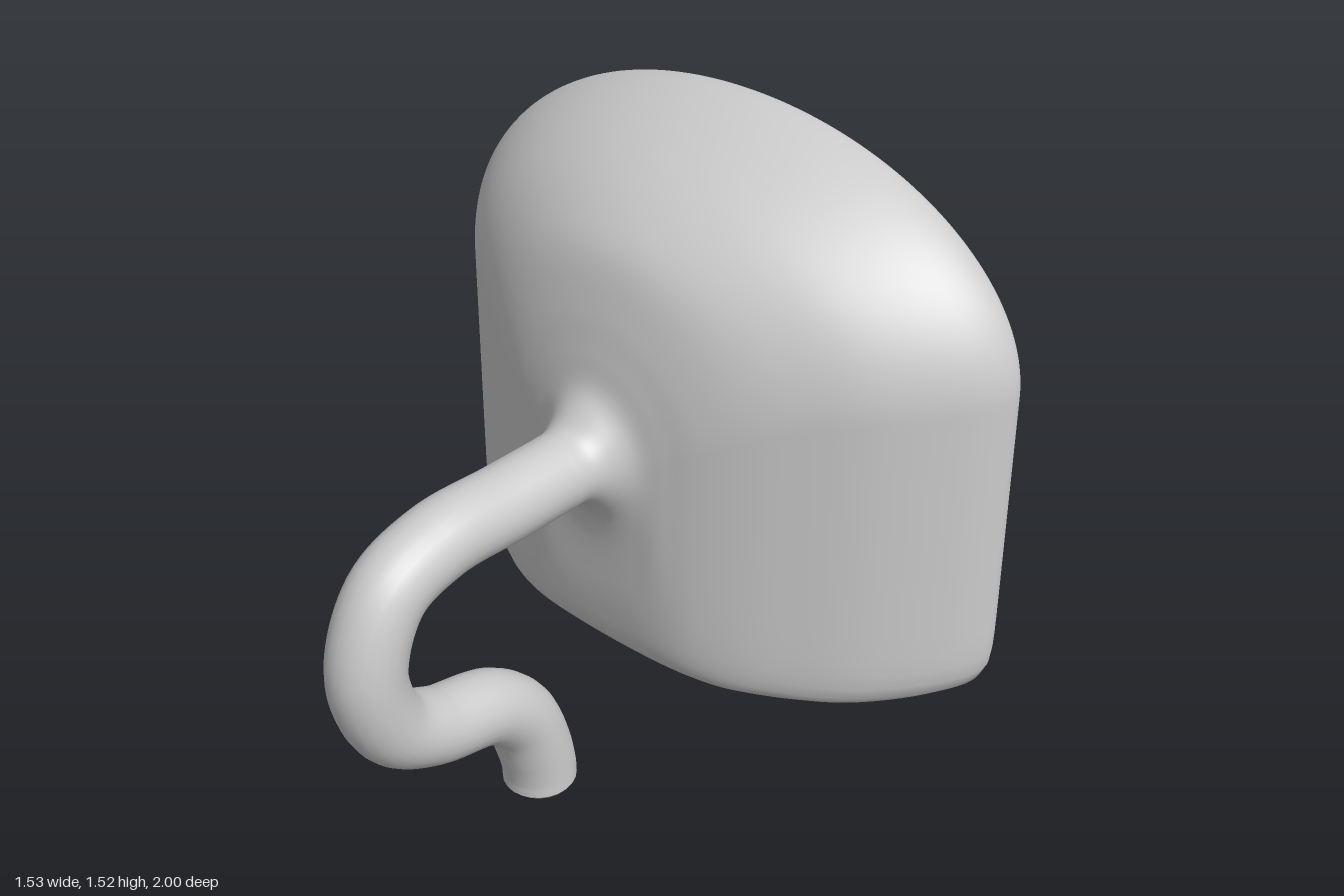
import * as THREE from 'three';
import { RoundedBoxGeometry } from 'three/addons/geometries/RoundedBoxGeometry.js';

const material = new THREE.MeshStandardMaterial({ color: 0xcccccc });

function part(group, name, geometry, x = 0, y = 0, z = 0) {
  const mesh = new THREE.Mesh(geometry, material);
  mesh.name = name;
  mesh.position.set(x, y, z);
  group.add(mesh);
  return mesh;
}

// Cross-sections of the basin, from the bowl's centre over the rim to the drain neck:
// [z, half width, bottom y, shoulder y, top y, squareness of lower half, bottom sag]
const SECTIONS = [
  [0.07, 0.01, 0.87, 0.88, 0.89, 2, 0],
  [0.05, 0.2, 0.75, 0.9, 1.07, 2, 0],
  [-0.01, 0.39, 0.65, 0.92, 1.24, 2, 0],
  [-0.09, 0.53, 0.575, 0.94, 1.36, 2, 0],
  [-0.18, 0.63, 0.525, 0.95, 1.44, 2, 0],
  [-0.25, 0.685, 0.48, 0.95, 1.48, 2.1, 0],
  [-0.285, 0.715, 0.435, 0.97, 1.497, 2.3, 0],
  [-0.297, 0.73, 0.36, 1.0, 1.503, 3, 0],
  [-0.298, 0.738, 0.205, 1.04, 1.507, 20, 0.11],
  [-0.28, 0.76, 0.178, 1.04, 1.52, 22, 0.11],
  [-0.24, 0.767, 0.172, 1.04, 1.52, 22, 0.11],
  [-0.15, 0.73, 0.18, 1.04, 1.495, 22, 0.1],
  [0, 0.60, 0.203, 1.03, 1.42, 20, 0.07],
  [0.1, 0.46, 0.23, 1.0, 1.34, 16, 0.045],
  [0.155, 0.365, 0.253, 0.95, 1.27, 12, 0.03],
  [0.195, 0.27, 0.295, 0.9, 1.15, 8, 0.02],
  [0.215, 0.2, 0.40, 0.85, 1.06, 4, 0],
  [0.235, 0.14, 0.64, 0.82, 0.98, 2, 0],
  [0.27, 0.105, 0.70, 0.82, 0.94, 2, 0],
  [0.31, 0.09, 0.731, 0.82, 0.91, 2, 0],
  [0.36, 0.087, 0.733, 0.82, 0.907, 2, 0],
];

// Point on a section: elliptical arch above the shoulder, squarish below it
function sectionPoint([z, w, bottom, shoulder, top, n, sag], angle) {
  const c = Math.cos(angle), s = Math.sin(angle);
  if (s >= 0) return new THREE.Vector3(w * c, shoulder + (top - shoulder) * s, z);
  const r = Math.pow(Math.pow(Math.abs(c), n) + Math.pow(-s, n), -1 / n);
  const x = r * c, down = -r * s;
  return new THREE.Vector3(w * x, shoulder - (shoulder - bottom) * down + sag * x * x * down, z);
}

// Smooth loft through all the sections
function basinGeometry(sides = 192, steps = 120) {
  const positions = [], index = [];
  for (let j = 0; j < sides; j++) {
    const angle = (j / sides) * Math.PI * 2;
    const curve = new THREE.CatmullRomCurve3(SECTIONS.map((s) => sectionPoint(s, angle)));
    for (let i = 0; i <= steps; i++) positions.push(...curve.getPoint(i / steps).toArray());
  }
  for (let j = 0; j < sides; j++) {
    const k = (j + 1) % sides;
    for (let i = 0; i < steps; i++) {
      const a = j * (steps + 1) + i, b = k * (steps + 1) + i;
      index.push(a, b, a + 1, b, b + 1, a + 1);
    }
  }
  // close the middle of the bowl
  const centre = positions.length / 3;
  positions.push(0, 0.88, 0.07);
  for (let j = 0; j < sides; j++) {
    index.push(centre, ((j + 1) % sides) * (steps + 1), j * (steps + 1));
  }
  const geometry = new THREE.BufferGeometry();
  geometry.setAttribute('position', new THREE.Float32BufferAttribute(positions, 3));
  geometry.setIndex(index);
  geometry.computeVertexNormals();
  return geometry;
}

export function createModel() {
  const model = new THREE.Group();
  model.name = 'washBasin';

  part(model, 'basin', basinGeometry());

  // Curved drain pipe, as [z, y] along its centre line
  const path = [
    [0.3, 0.82], [0.5, 0.82], [0.7, 0.82], [0.84, 0.765], [0.91, 0.6],
    [0.86, 0.435], [0.75, 0.36], [0.58, 0.31], [0.49, 0.23], [0.445, 0.12], [0.43, 0.05], [0.429, 0.018],
  ].map(([z, y]) => new THREE.Vector3(0, y, z));
  part(model, 'drainPipe', new THREE.TubeGeometry(new THREE.CatmullRomCurve3(path), 90, 0.087, 24));

  // Rounded closed end of the drain pipe
  const endProfile = [[0, 0], [0.062, 0], [0.078, 0.006], [0.087, 0.022]].map(([x, y]) => new THREE.Vector2(x, y));
  part(model, 'drainEnd', new THREE.LatheGeometry(endProfile, 24), 0, 0, 0.429);

  // Tap: body, spout with its small lip, and thin handle
  const tap = new THREE.Group();
  tap.name = 'tap';
  tap.position.x = -0.01;
  model.add(tap);
  part(tap, 'tapBody', new THREE.CylinderGeometry(0.09, 0.09, 0.72, 32), 0, 0.34, -0.64).rotation.x = Math.PI / 2;
  part(tap, 'spout', new RoundedBoxGeometry(0.072, 0.42, 0.08, 3, 0.025), -0.005, 0.572, -0.782);
  part(tap, 'spoutLip', new RoundedBoxGeometry(0.072, 0.07, 0.092, 3, 0.012), -0.005, 0.747, -0.777);
  part(tap, 'handle', new THREE.BoxGeometry(0.036, 0.4, 0.026), 0, 0.512, -0.987);

  return model;
}
